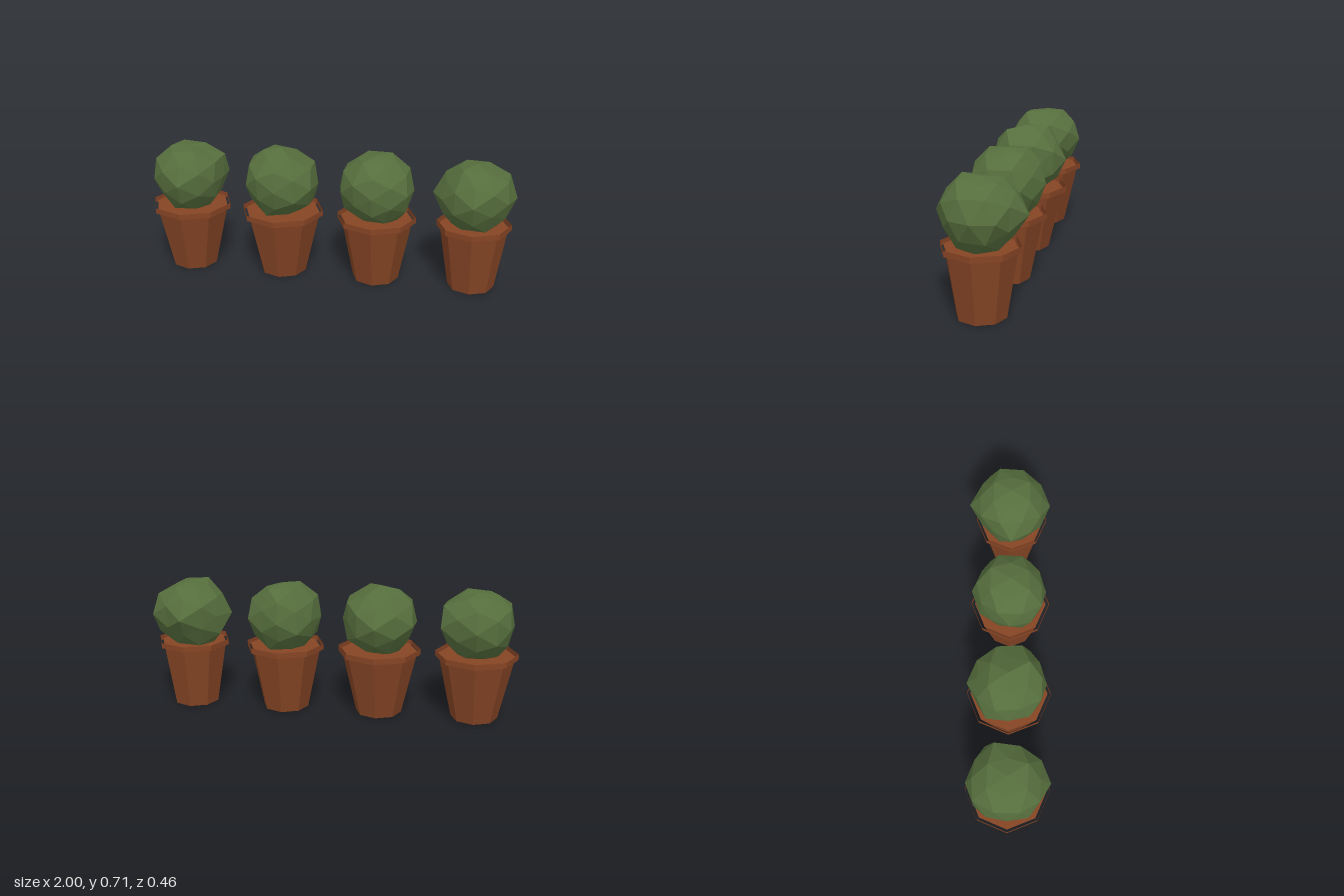
import * as THREE from 'three';

const terracotta = new THREE.MeshStandardMaterial({ color: 0x854424, flatShading: true });
terracotta.name = 'terracotta';
const rimClay = terracotta.clone();
rimClay.name = 'terracotta rim';
rimClay.side = THREE.DoubleSide;
const leaf = new THREE.MeshStandardMaterial({ color: 0x566e3d, flatShading: true });
leaf.name = 'leaf green';

// Each plant: x position, pot top radius, rim radius, and leaf-ball bumps as [direction, radius]
const T = 0.526, L = 0.851, A = 0.809, B = 0.5, C = 0.309;
const plants = [
  { x: -0.782, top: 0.204, rim: 0.220, bumps: [
    [1, 0, 0, 0.187], [-1, 0, 0, 0.19], [0, 1, 0, 0.172], [0, 0, 1, 0.219], [0, 0, -1, 0.213],
    [-T, L, 0, 0.192], [T, L, 0, 0.175], [A, B, C, 0.205], [A, B, -C, 0.222], [L, 0, -T, 0.221], [L, 0, T, 0.195]] },
  { x: -0.261, top: 0.207, rim: 0.224, bumps: [
    [1, 0, 0, 0.2], [-1, 0, 0, 0.2], [0, 1, 0, 0.19], [0, 0, 1, 0.197], [0, 0, -1, 0.22],
    [A, B, C, 0.215], [-A, B, C, 0.205], [-A, B, -C, 0.22], [-L, 0, -T, 0.222], [L, 0, -T, 0.185], [T, L, 0, 0.175]] },
  { x: 0.258, top: 0.196, rim: 0.214, bumps: [
    [1, 0, 0, 0.2], [-1, 0, 0, 0.2], [0, 1, 0, 0.183], [0, 0, 1, 0.192], [0, 0, -1, 0.207],
    [T, L, 0, 0.185], [-T, L, 0, 0.19]] },
  { x: 0.779, top: 0.182, rim: 0.198, bumps: [
    [1, 0, 0, 0.215], [-1, 0, 0, 0.223], [0, 1, 0, 0.172], [0, 0, 1, 0.214], [0, 0, -1, 0.232],
    [T, L, 0, 0.175], [-T, L, 0, 0.178], [L, 0, -T, 0.223], [A, B, C, 0.205]] },
];

// Repeatable value from 0 to 1 for a direction
function noise(v, seed) {
  const r = (n) => Math.round(n * 100);
  const s = Math.sin(r(v.x) * 12.99 + r(v.y) * 78.23 + r(v.z) * 37.72 + seed * 9.17) * 43758.55;
  return s - Math.floor(s);
}

// Faceted ball with each corner pushed in or out along its own direction
function leafBall(bumps, seed) {
  const geo = new THREE.IcosahedronGeometry(1, 1);
  const pos = geo.attributes.position;
  const v = new THREE.Vector3();
  for (let i = 0; i < pos.count; i++) {
    v.fromBufferAttribute(pos, i).normalize();
    const bump = bumps.find(([x, y, z]) => v.x * x + v.y * y + v.z * z > 0.97);
    const radius = bump ? bump[3] : 0.188 + 0.024 * noise(v, seed);
    pos.setXYZ(i, v.x * radius, v.y * radius, v.z * radius);
  }
  geo.computeVertexNormals();
  return geo;
}

function addPart(parent, name, geometry, material, y) {
  const mesh = new THREE.Mesh(geometry, material);
  mesh.name = name;
  mesh.position.y = y;
  parent.add(mesh);
}

export function createModel() {
  const model = new THREE.Group();
  model.name = 'potted shrubs';
  plants.forEach(({ x, top, rim, bumps }, i) => {
    const plant = new THREE.Group();
    plant.name = 'pottedShrub' + (i + 1);
    plant.position.set(x, 0, 0.003);
    // Tapered eight-sided pot, filled to the top
    addPart(plant, 'pot', new THREE.CylinderGeometry(top, 0.125, 0.35, 8), terracotta, 0.175);
    // Thin open band standing clear of the pot
    addPart(plant, 'rim', new THREE.CylinderGeometry(rim, rim, 0.03, 8, 1, true), rimClay, 0.35);
    addPart(plant, 'foliage', leafBall(bumps, i + 1), leaf, 0.52);
    model.add(plant);
  });
  return model;
}
